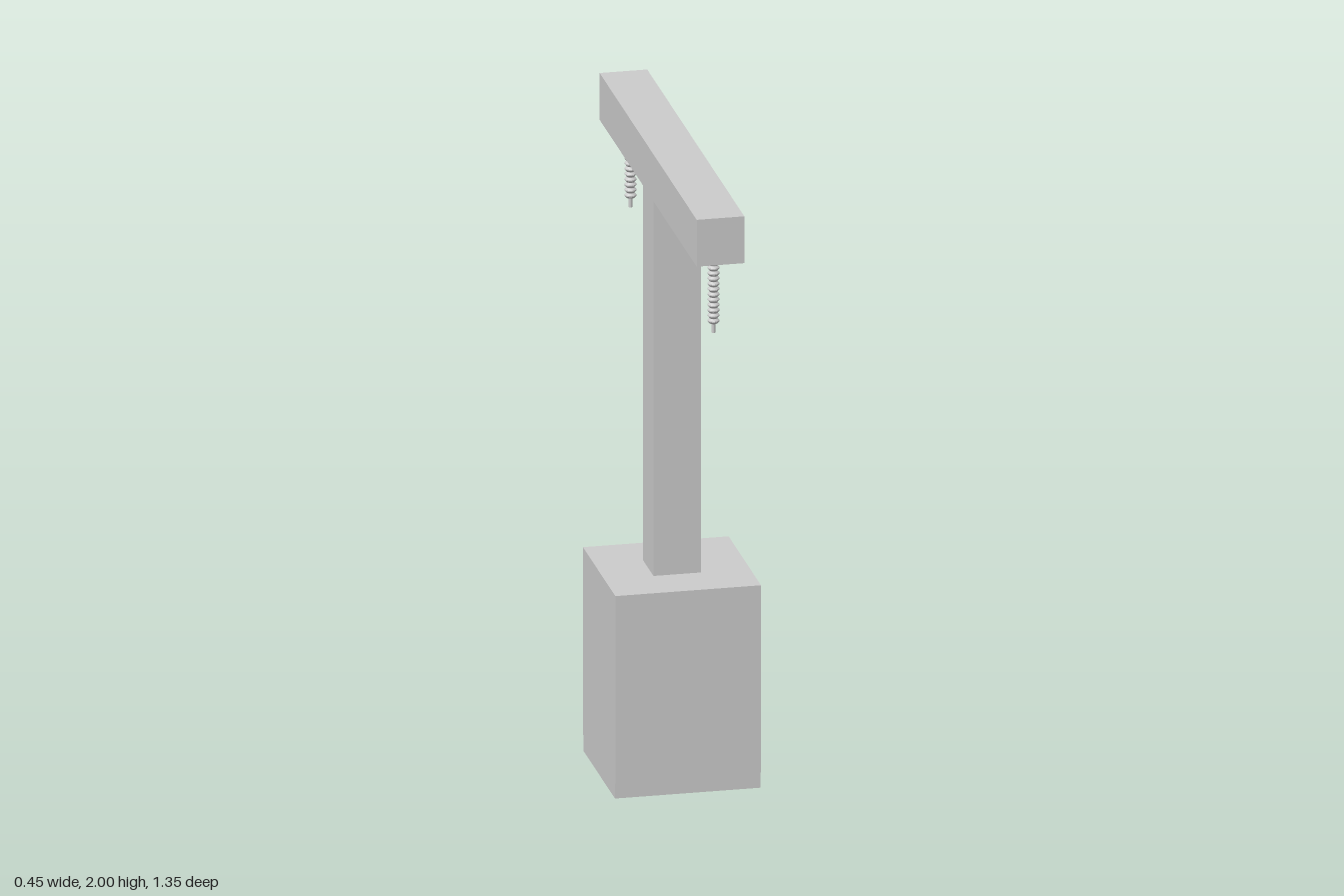
import * as THREE from 'three';

const material = new THREE.MeshStandardMaterial({ color: 0xcccccc, flatShading: true });

// Box spanning from y0 to y1, centred on x = z = 0
function block(name, width, depth, y0, y1) {
  const mesh = new THREE.Mesh(new THREE.BoxGeometry(width, y1 - y0, depth), material);
  mesh.position.y = (y0 + y1) / 2;
  mesh.name = name;
  return mesh;
}

// Hanging insulator: end pin, then a stack of thin ribs up to the beam
function insulatorGeometry() {
  const ribs = 13, bottom = 1.63, top = 1.85;
  const step = (top - bottom) / ribs;
  const profile = [[0, 1.6], [0.006, 1.6], [0.006, bottom]];
  for (let i = 0; i < ribs; i++) {
    const y = bottom + i * step;
    profile.push([0.012, y], [0.018, y + step * 0.4], [0.018, y + step * 0.6], [0.012, y + step * 0.95]);
  }
  profile.push([0.006, top], [0, top]);
  return new THREE.LatheGeometry(profile.map(([r, y]) => new THREE.Vector2(r, y)), 16);
}

export function createModel() {
  const model = new THREE.Group();
  model.name = 'utilityPole';

  // Foundation
  model.add(block('footing', 0.45, 0.44, 0, 0.05));
  model.add(block('foundationBlock', 0.45, 0.45, 0.05, 0.65));

  // Post and crossbeam
  model.add(block('post', 0.147, 0.147, 0.65, 1.85));
  model.add(block('crossbeam', 0.147, 1.35, 1.85, 2));

  // Insulators under both beam ends
  const geometry = insulatorGeometry();
  for (const side of [1, -1]) {
    const insulator = new THREE.Mesh(geometry, material);
    insulator.position.z = side * 0.577;
    insulator.name = side > 0 ? 'frontInsulator' : 'backInsulator';
    model.add(insulator);
  }
  return model;
}
